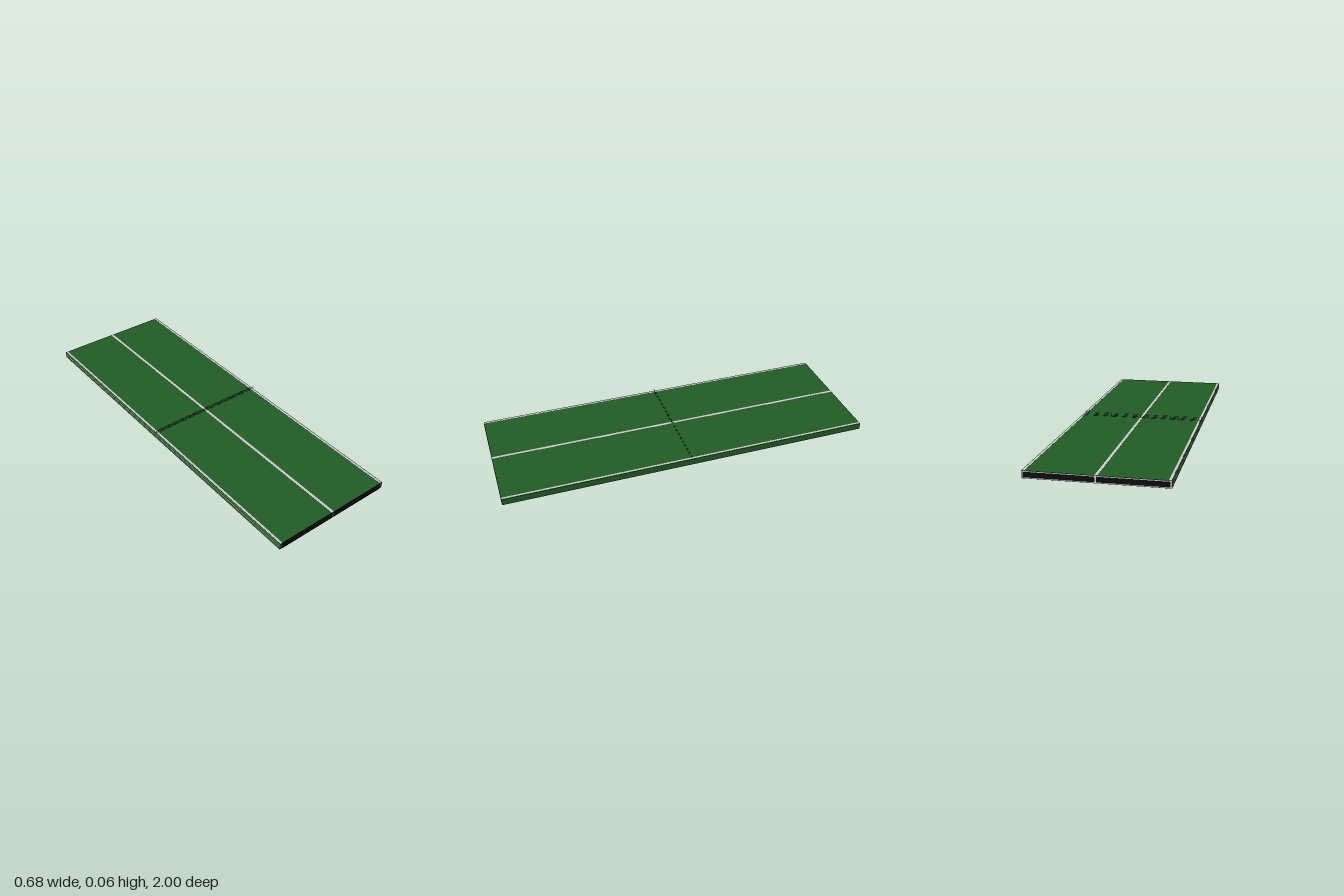
import * as THREE from 'three';

const W = 0.68, H = 0.036, L = 1.998;
const paint = (color) => new THREE.MeshStandardMaterial({ color, side: THREE.DoubleSide });

export function createModel() {
  const model = new THREE.Group();
  const green = paint(0x225c26), white = paint(0xbcbcbc), black = paint(0x0c0c0c), cord = paint(0x303030);

  function box(parent, name, mat, w, h, d, x, y, z) {
    const mesh = new THREE.Mesh(new THREE.BoxGeometry(w, h, d), mat);
    mesh.name = name;
    mesh.position.set(x, y, z);
    parent.add(mesh);
  }

  // Flat strip of the net, standing in the plane z = 0
  function strip(parent, name, w, h, x, y) {
    const mesh = new THREE.Mesh(new THREE.PlaneGeometry(w, h), cord);
    mesh.name = name;
    mesh.position.set(x, y, 0);
    parent.add(mesh);
  }

  // Table slab
  box(model, 'tableTop', green, W, H, L, 0, H / 2, 0);

  // Lengthwise lines on the playing surface
  for (const [x, w] of [[-0.331, 0.011], [-0.003, 0.014], [0.331, 0.011]]) {
    box(model, 'courtLine', white, w, 0.001, L, x, H, 0);
  }

  // Front end: two black panels between green marks
  for (const s of [-1, 1]) {
    box(model, 'frontEndPanel', black, 0.32, H, 0.001, s * 0.1665, H / 2, 0.9995);
  }

  // Back end: black panel with light border and centre mark
  const back = new THREE.Group();
  back.name = 'backEnd';
  box(back, 'backEndPanel', black, W, H, 0.0006, 0, H / 2, -0.9992);
  for (const y of [0.003, H - 0.003]) box(back, 'backEndLine', white, W, 0.004, 0.0005, 0, y, -0.9997);
  for (const x of [-0.336, 0, 0.336]) box(back, 'backEndMark', white, 0.007, H, 0.0005, x, H / 2, -0.9997);
  model.add(back);

  // Lines along the right edge
  for (const y of [0.003, H / 2, H - 0.003]) {
    box(model, 'sideLine', white, 0.001, 0.003, L, -W / 2, y, 0);
  }

  // Net: horizontal cords and evenly spaced uprights
  const net = new THREE.Group();
  net.name = 'net';
  for (const y of [0.0372, 0.0435, 0.0495, 0.0555]) strip(net, 'netCord', 0.684, 0.0012, 0, y);
  for (let i = -8; i <= 8; i++) strip(net, 'netUpright', 0.001, 0.022, i * 0.0426, 0.047);
  model.add(net);

  return model;
}
